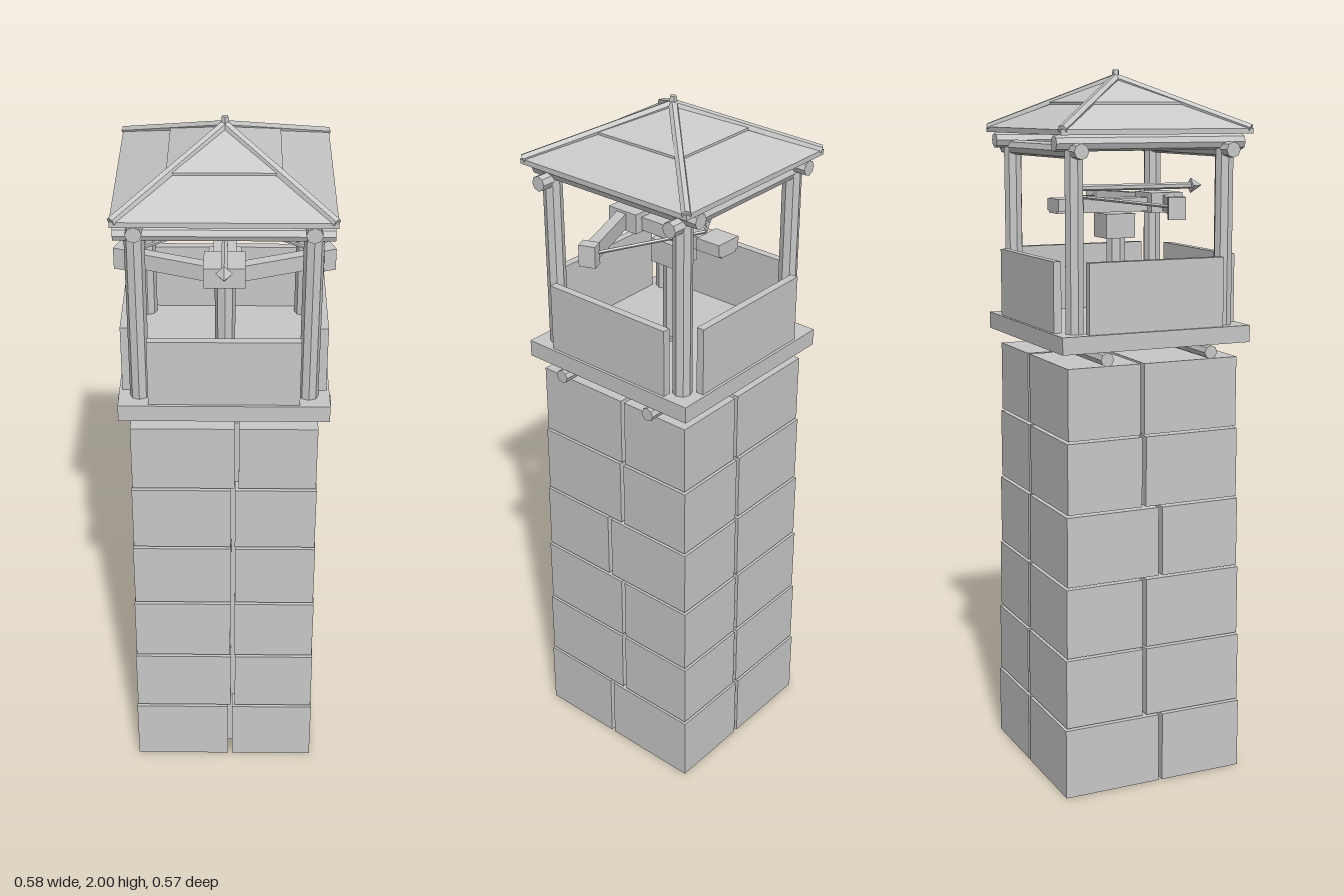
import * as THREE from 'three';

export function createModel() {
  const root = new THREE.Group();
  root.name = 'watchtower';
  const grey = new THREE.MeshStandardMaterial({ color: 0xc8c8c8, flatShading: true, side: THREE.DoubleSide });
  grey.name = 'stone grey';

  const group = (name) => {
    const g = new THREE.Group();
    g.name = name;
    root.add(g);
    return g;
  };
  const add = (parent, name, geometry) => {
    const mesh = new THREE.Mesh(geometry, grey);
    mesh.name = name;
    parent.add(mesh);
    return mesh;
  };
  // box given by its lower and upper corners
  const box = (parent, name, a, b) => {
    const m = add(parent, name, new THREE.BoxGeometry(b[0] - a[0], b[1] - a[1], b[2] - a[2]));
    m.position.set((a[0] + b[0]) / 2, (a[1] + b[1]) / 2, (a[2] + b[2]) / 2);
    return m;
  };
  // round or tapered bar between two points
  const bar = (parent, name, a, b, r0, r1 = r0, sides = 8) => {
    const p = new THREE.Vector3(...a), q = new THREE.Vector3(...b);
    const d = q.clone().sub(p);
    const m = add(parent, name, new THREE.CylinderGeometry(r1, r0, d.length(), sides));
    m.position.copy(p).add(q).multiplyScalar(0.5);
    m.quaternion.setFromUnitVectors(new THREE.Vector3(0, 1, 0), d.normalize());
    return m;
  };

  // stone shaft: six courses of four corner blocks around a recessed core
  const shaft = group('shaft');
  box(shaft, 'core', [-0.215, 0, -0.215], [0.215, 1.212, 0.215]);
  const seams = [[0.018, 0.02], [0.026, -0.03], [0.024, -0.03], [0.026, 0.02], [0.024, -0.03], [0.034, -0.035]];
  const gap = 0.006;
  seams.forEach(([sx, sz], i) => {
    const hx = 0.265 - i * 0.0025, hz = 0.272 - i * 0.0035;
    const y0 = i * 0.2035 + (i ? 0.004 : 0.001), y1 = (i + 1) * 0.2035 - 0.002;
    box(shaft, 'block', [-hx, y0, sz + gap], [sx - gap, y1, hz]);
    box(shaft, 'block', [sx + gap, y0, sz + gap], [hx, y1, hz]);
    box(shaft, 'block', [-hx, y0, -hz], [sx - gap, y1, sz - gap]);
    box(shaft, 'block', [sx + gap, y0, -hz], [hx, y1, sz - gap]);
  });

  // platform resting on two logs
  const platform = group('platform');
  for (const s of [-1, 1]) bar(platform, 'supportLog', [-0.288, 1.243, s * 0.155], [0.288, 1.243, s * 0.155], 0.019);
  box(platform, 'deck', [-0.28, 1.262, -0.28], [0.28, 1.309, 0.28]);

  // parapet panels, corner posts and top beams
  const cabin = group('cabin');
  for (const s of [-1, 1]) {
    const lo = Math.min(s * 0.25, s * 0.272), hi = Math.max(s * 0.25, s * 0.272);
    box(cabin, 'parapet', [-0.2, 1.309, lo], [0.2, 1.5, hi]);
    box(cabin, 'parapet', [lo, 1.309, -0.2], [hi, 1.5, 0.2]);
    bar(cabin, 'crossBeam', [-0.277, 1.787, s * 0.222], [0.277, 1.787, s * 0.222], 0.021);
    bar(cabin, 'sideBeam', [s * 0.222, 1.807, -0.277], [s * 0.222, 1.807, 0.277], 0.021);
    for (const t of [-1, 1]) bar(cabin, 'post', [s * 0.224, 1.305, t * 0.222], [s * 0.224, 1.79, t * 0.222], 0.026);
  }

  // two-layer hipped roof, as four-sided lathes
  const roof = group('roof');
  const hipped = (name, pts) => add(roof, name, new THREE.LatheGeometry(
    pts.map(([h, y]) => new THREE.Vector2(h * Math.SQRT2, y)), 4, Math.PI / 4));
  hipped('lowerRoof', [[0.12, 1.902], [0.27, 1.829], [0.28, 1.829], [0.28, 1.843], [0.12, 1.917]]);
  hipped('upperRoof', [[0.001, 1.962], [0.145, 1.897], [0.145, 1.912], [0.001, 1.978]]);
  for (const s of [-1, 1]) for (const t of [-1, 1]) {
    bar(roof, 'hipPole', [s * 0.275, 1.842, t * 0.275], [0, 1.977, 0], 0.013, 0.013, 6);
  }
  bar(roof, 'finial', [0, 1.96, 0], [0, 2, 0], 0.014, 0.009, 5);

  // mounted bolt thrower
  const weapon = group('boltThrower');
  bar(weapon, 'pedestal', [0, 1.309, 0], [0, 1.55, 0], 0.028);
  bar(weapon, 'pedestalFoot', [0, 1.309, 0], [0, 1.318, 0], 0.04);
  box(weapon, 'swivelHead', [-0.044, 1.54, -0.048], [0.044, 1.608, 0.04]);
  box(weapon, 'stock', [-0.03, 1.612, -0.19], [0.03, 1.65, 0.18]);
  box(weapon, 'stockRear', [-0.04, 1.618, -0.19], [0.04, 1.652, -0.115]);
  box(weapon, 'bowHousing', [-0.054, 1.608, 0.085], [0.054, 1.664, 0.182]);
  for (const s of [-1, 1]) {
    const arm = new THREE.Group();
    arm.name = 'bowArm';
    arm.position.set(s * 0.04, 1.635, 0.142);
    arm.rotation.y = s * 0.36;
    weapon.add(arm);
    const limb = add(arm, 'limb', new THREE.BoxGeometry(0.24, 0.044, 0.03));
    limb.position.x = s * 0.12;
    const tip = add(arm, 'limbTip', new THREE.BoxGeometry(0.034, 0.06, 0.046));
    tip.position.x = s * 0.243;
    bar(weapon, 'bowString', [s * 0.265, 1.638, 0.05], [0, 1.655, -0.11], 0.005, 0.005, 5);
  }
  bar(weapon, 'boltShaft', [0, 1.679, -0.12], [0, 1.679, 0.24], 0.009, 0.009, 6);
  bar(weapon, 'boltHead', [0, 1.679, 0.235], [0, 1.679, 0.27], 0.022, 0.001, 4);

  return root;
}
